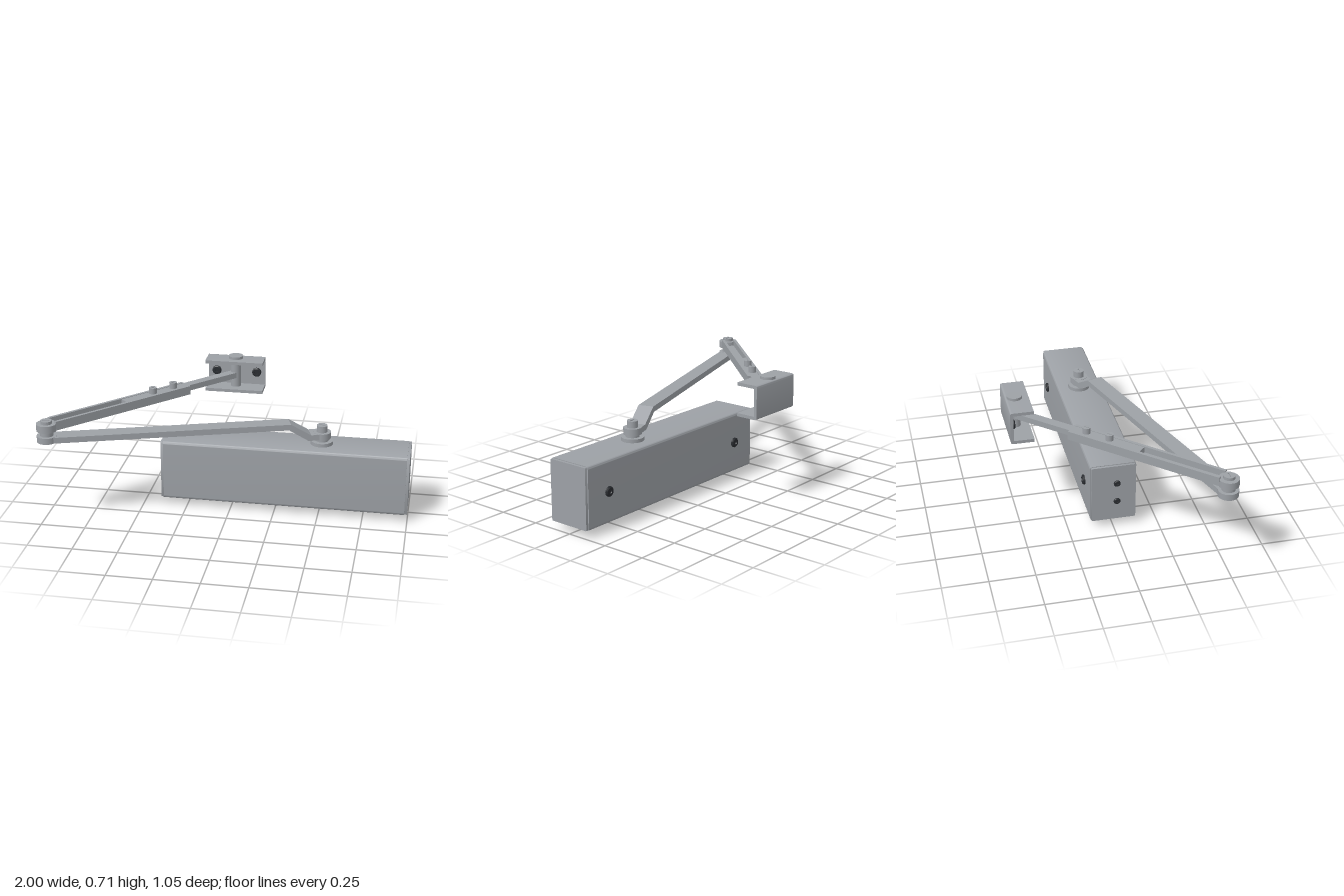
import * as THREE from 'three';
import { toCreasedNormals } from 'three/addons/utils/BufferGeometryUtils.js';

const metal = new THREE.MeshStandardMaterial({ color: 0x9da1a6 });
metal.name = 'grey metal';
const dark = new THREE.MeshStandardMaterial({ color: 0x2a2d31 });
dark.name = 'dark screw';

function add(parent, name, geometry, x = 0, y = 0, z = 0, material = metal) {
  const mesh = new THREE.Mesh(geometry, material);
  mesh.name = name;
  mesh.position.set(x, y, z);
  parent.add(mesh);
  return mesh;
}

// Upright cylinder between two heights
function post(parent, name, r, y0, y1, x = 0, z = 0) {
  return add(parent, name, new THREE.CylinderGeometry(r, r, y1 - y0, 40), x, (y0 + y1) / 2, z);
}

// Box given by its min and max corners
function block(parent, name, [x0, y0, z0], [x1, y1, z1]) {
  return add(parent, name, new THREE.BoxGeometry(x1 - x0, y1 - y0, z1 - z0),
    (x0 + x1) / 2, (y0 + y1) / 2, (z0 + z1) / 2);
}

// Upright pin with a screwdriver slot cut in its top
function slottedPin(parent, name, r, y0, y1, x = 0, z = 0, turn = 0) {
  const cut = 0.008, l = r * 0.62, w = r * 0.12;
  post(parent, name, r, y0, y1 - cut, x, z);
  const s = new THREE.Shape().absarc(0, 0, r, 0, Math.PI * 2);
  s.holes.push(new THREE.Path([[-l, -w], [-l, w], [l, w], [l, -w]].map((p) => new THREE.Vector2(...p))));
  const g = new THREE.ExtrudeGeometry(s, { depth: cut, bevelEnabled: false, curveSegments: 24 });
  g.rotateX(-Math.PI / 2).rotateY(turn);
  add(parent, name + 'Slot', toCreasedNormals(g, 0.5), x, y1 - cut, z);
}

function roundedRect(w, h, r) {
  const s = new THREE.Shape();
  const a = w / 2 - r, b = h / 2 - r, q = Math.PI / 2;
  s.absarc(a, b, r, 0, q);
  s.absarc(-a, b, r, q, 2 * q);
  s.absarc(-a, -b, r, 2 * q, 3 * q);
  s.absarc(a, -b, r, 3 * q, 4 * q);
  return s;
}

// Rounded rectangular bar running along x
function barAlongX(w, h, r, length) {
  const g = new THREE.ExtrudeGeometry(roundedRect(w, h, r), { depth: length, bevelEnabled: false, curveSegments: 6 });
  return toCreasedNormals(g.translate(0, 0, -length / 2).rotateY(Math.PI / 2), 0.6);
}

// Domed screw head with its base at the origin, pointing along +y
function screwHead(r, h) {
  const pts = [[0, 0], [r, 0], [r, h * 0.6], [r * 0.8, h], [r * 0.4, h], [r * 0.35, h * 0.5], [0, h * 0.5]];
  return toCreasedNormals(new THREE.LatheGeometry(pts.map((p) => new THREE.Vector2(...p)), 24), 0.5);
}

// Group whose local +x runs from one plan point to another
function span(parent, name, [x0, z0], [x1, z1]) {
  const g = new THREE.Group();
  g.name = name;
  g.position.set(x0, 0, z0);
  g.rotation.y = Math.atan2(z0 - z1, x1 - x0);
  parent.add(g);
  return { g, length: Math.hypot(x1 - x0, z1 - z0) };
}

export function createModel() {
  const model = new THREE.Group();
  model.name = 'doorCloser';
  const spindle = [0.5, 0], elbow = [-0.945, 0.47], shoe = [-0.07, -0.477];

  // Housing with end caps
  const body = new THREE.Group();
  body.name = 'body';
  model.add(body);
  add(body, 'housing', barAlongX(0.258, 0.35, 0.016, 1.366), 0.3, 0.215, 0.003);
  for (const x of [-0.39, 0.99]) add(body, 'endCap', barAlongX(0.246, 0.342, 0.006, 0.016), x, 0.215, 0.003);
  for (const x of [-0.235, 0.83]) {
    add(body, 'backScrew', screwHead(0.028, 0.014), x, 0.217, -0.125, dark).rotation.x = -Math.PI / 2;
  }
  for (const y of [0.16, 0.275]) {
    add(body, 'endScrew', screwHead(0.019, 0.009), -0.397, y, 0.022, dark).rotation.z = Math.PI / 2;
  }

  // Spindle through the housing
  post(model, 'lowerSpindle', 0.042, 0, 0.05, ...spindle);
  post(model, 'spindleFlange', 0.063, 0.385, 0.41, ...spindle);
  post(model, 'spindleNeck', 0.038, 0.405, 0.43, ...spindle);
  slottedPin(model, 'spindleTop', 0.03, 0.455, 0.5, ...spindle);

  // Main arm, cranked down to the spindle
  const arm = span(model, 'mainArm', spindle, elbow);
  const L = arm.length, w = 0.088;
  const profile = new THREE.Shape([
    [0, 0.427], [0.085, 0.427], [0.195, 0.497], [L, 0.497],
    [L, 0.53], [0.185, 0.53], [0.07, 0.46], [0, 0.46],
  ].map((p) => new THREE.Vector2(...p)));
  add(arm.g, 'armBar', new THREE.ExtrudeGeometry(profile, { depth: w, bevelEnabled: false }), 0, 0, -w / 2);
  post(arm.g, 'armHub', 0.05, 0.425, 0.462);
  post(arm.g, 'armEnd', 0.055, 0.496, 0.531, L);

  // Elbow joint
  post(model, 'elbowPin', 0.036, 0.525, 0.565, ...elbow);
  post(model, 'elbowHub', 0.055, 0.56, 0.6, ...elbow);
  slottedPin(model, 'elbowCap', 0.031, 0.595, 0.617, ...elbow);

  // Forearm: open channel with a sliding rod clamped by two screws
  const fore = span(model, 'forearm', elbow, shoe);
  const end = 0.926, start = 0.035;
  block(fore.g, 'channelFloor', [start, 0.563, -0.044], [end, 0.578, 0.044]);
  for (const s of [-1, 1]) {
    add(fore.g, 'channelWall', new THREE.BoxGeometry(end - start, 0.036, 0.017), (start + end) / 2, 0.595, s * 0.0355);
  }
  block(fore.g, 'slidingRod', [0.5, 0.578, -0.026], [fore.length, 0.611, 0.026]);
  for (const x of [0.695, 0.835]) slottedPin(fore.g, 'clampScrew', 0.022, 0.605, 0.645, x, 0, 0.2);

  // Frame bracket: C-section open to the front, with pivot post
  const bracket = new THREE.Group();
  bracket.name = 'frameBracket';
  model.add(bracket);
  const t = 0.018, r = 0.014;
  const c = new THREE.Shape();
  c.moveTo(0.4, 0.505).lineTo(0.53 - r, 0.505).quadraticCurveTo(0.53, 0.505, 0.53, 0.505 + r);
  c.lineTo(0.53, 0.695 - r).quadraticCurveTo(0.53, 0.695, 0.53 - r, 0.695).lineTo(0.4, 0.695);
  c.lineTo(0.4, 0.695 - t).lineTo(0.53 - t, 0.695 - t).lineTo(0.53 - t, 0.505 + t).lineTo(0.4, 0.505 + t);
  const cGeo = new THREE.ExtrudeGeometry(c, { depth: 0.34, bevelEnabled: false, curveSegments: 6 });
  add(bracket, 'bracketShell', toCreasedNormals(cGeo.rotateY(Math.PI / 2), 0.6), -0.24, 0, 0);
  post(bracket, 'pivotPost', 0.03, 0.515, 0.69, ...shoe);
  post(bracket, 'pivotCap', 0.042, 0.694, 0.71, ...shoe);
  for (const x of [-0.19, 0.05]) {
    add(bracket, 'bracketScrew', screwHead(0.027, 0.014), x, 0.6, -0.512, dark).rotation.x = Math.PI / 2;
  }
  return model;
}
